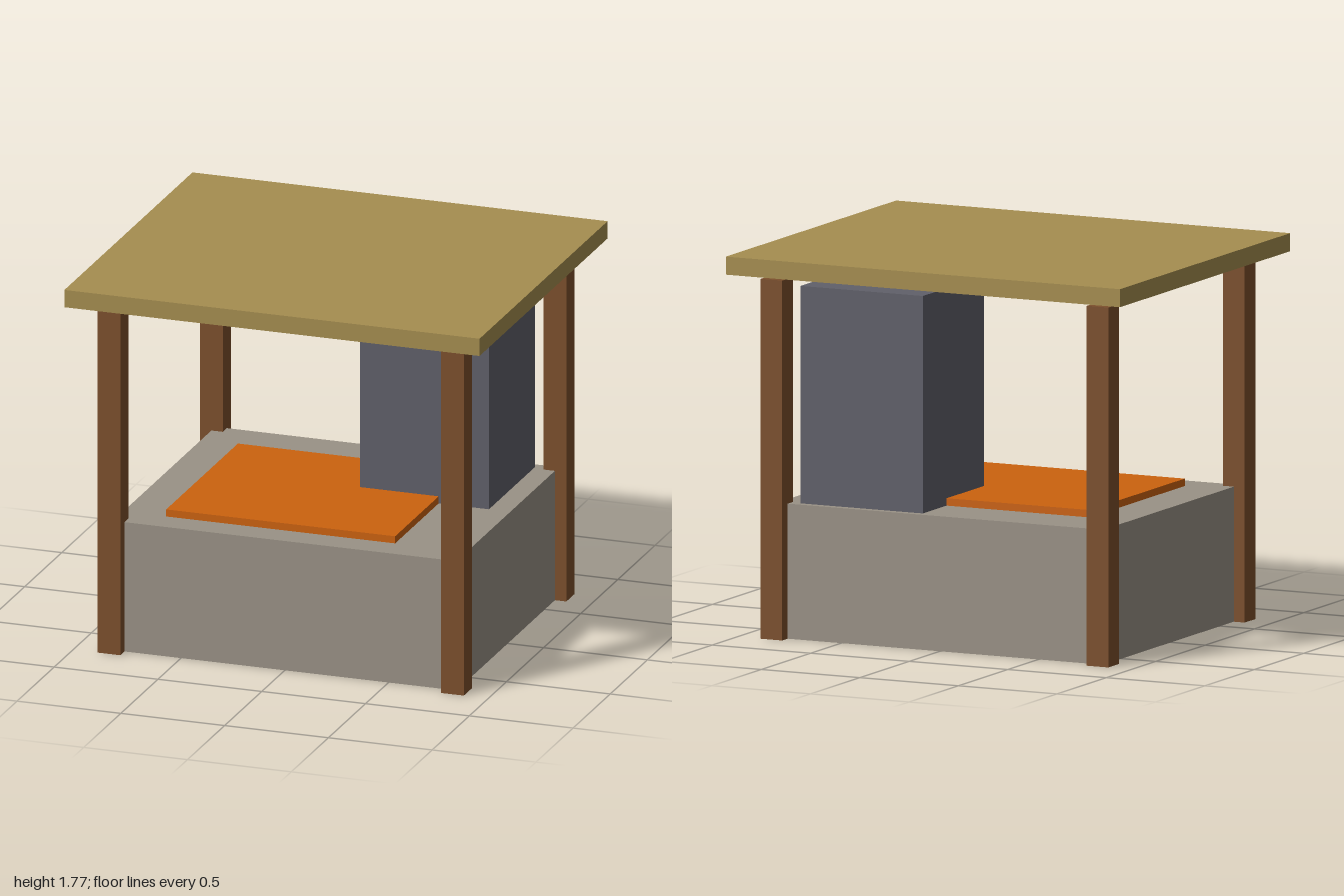
import * as THREE from 'three';

export function createModel() {
  const model = new THREE.Group();
  model.name = 'forgeShelter';

  const material = (name, color) => {
    const m = new THREE.MeshStandardMaterial({ color });
    m.name = name;
    return m;
  };
  const thatch = material('straw roof', 0xa68e50);
  const wood = material('brown wood', 0x7d502c);
  const stone = material('warm grey stone', 0x9a9286);
  const slate = material('dark slate', 0x60606a);
  const ember = material('ember orange', 0xcc620e);

  // Box given by its size, its centre in x and z, and its bottom height
  const box = (name, mat, [w, h, d], [x, bottom, z]) => {
    const mesh = new THREE.Mesh(new THREE.BoxGeometry(w, h, d), mat);
    mesh.name = name;
    mesh.position.set(x, bottom + h / 2, z);
    model.add(mesh);
  };

  // Stone block with the hot plate and chimney on top
  box('hearthBase', stone, [1.655, 0.621, 1.379], [0, 0, 0]);
  box('hotPlate', ember, [1.103, 0.034, 0.966], [-0.069, 0.621, 0.069]);
  box('chimney', slate, [0.621, 1.0, 0.621], [0.414, 0.621, -0.345]);

  // Corner posts, centred on the corners of the base
  for (const [side, sx] of [['Left', 1], ['Right', -1]]) {
    for (const [end, sz] of [['front', 1], ['back', -1]]) {
      box(`${end}${side}Post`, wood, [0.11, 1.655, 0.11], [sx * 0.8275, 0, sz * 0.69]);
    }
  }

  // Flat roof slab, floating just above the posts
  box('roof', thatch, [2, 0.083, 1.724], [0, 1.683, 0]);

  return model;
}
